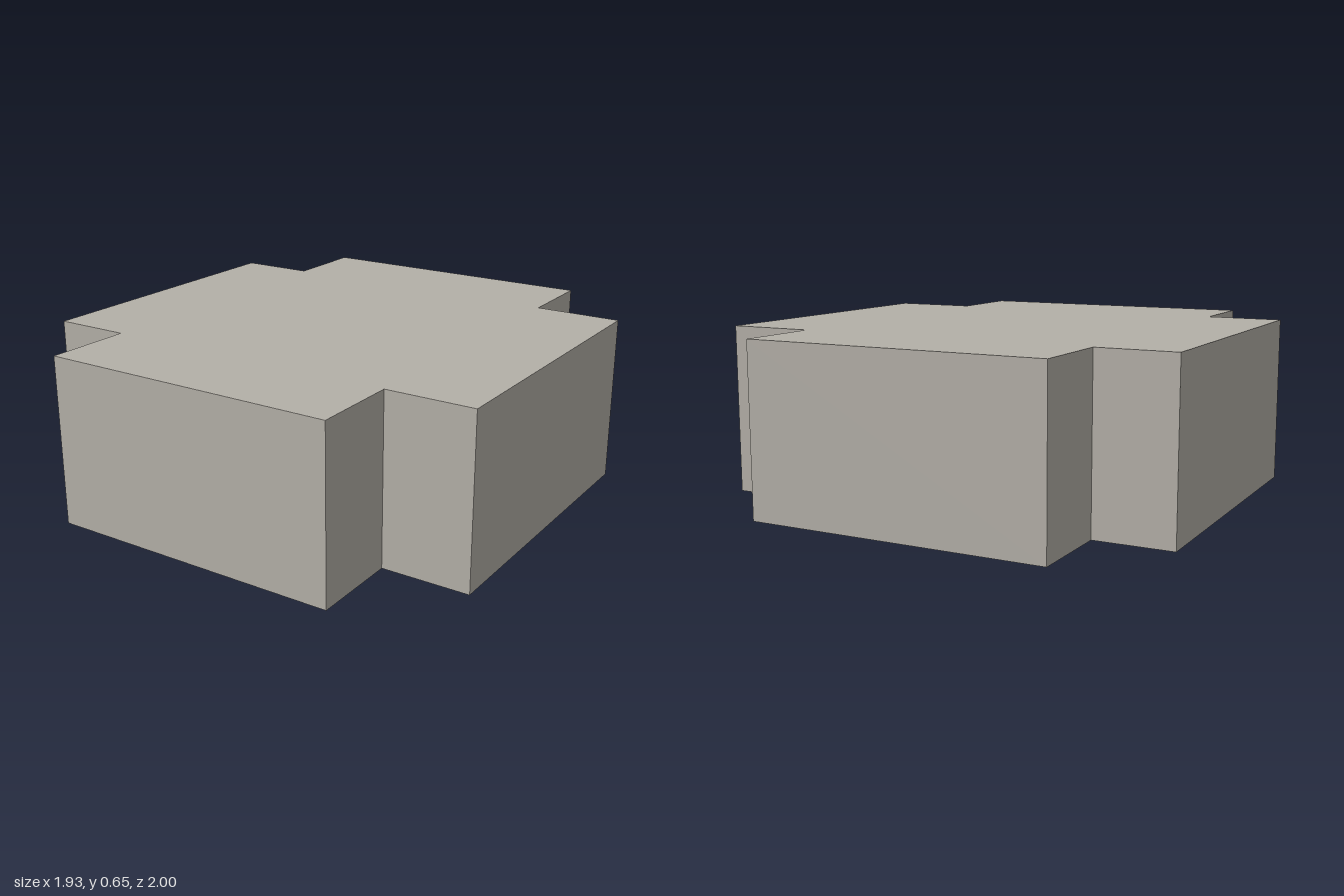
import * as THREE from 'three';

// Slightly turned cross-shaped block with square notches at its corners
export function createModel() {
  const group = new THREE.Group();
  group.name = 'notchedBlock';
  const stone = new THREE.MeshStandardMaterial({ color: 0xb4b0a8 });
  stone.name = 'warm grey';

  // Plan outline as x, z corners
  const outline = [
    [-0.48, -1], [0.668, -0.86], [0.628, -0.527], [0.963, -0.485],
    [0.818, 0.702], [0.483, 0.661], [0.443, 1], [-0.706, 0.856],
    [-0.665, 0.521], [-0.963, 0.485], [-0.82, -0.702], [-0.522, -0.667],
  ];
  const shape = new THREE.Shape(outline.map(([x, z]) => new THREE.Vector2(x, -z)));
  const geometry = new THREE.ExtrudeGeometry(shape, { depth: 0.65, bevelEnabled: false });
  geometry.rotateX(-Math.PI / 2);

  const block = new THREE.Mesh(geometry, stone);
  block.name = 'block';
  group.add(block);
  return group;
}
